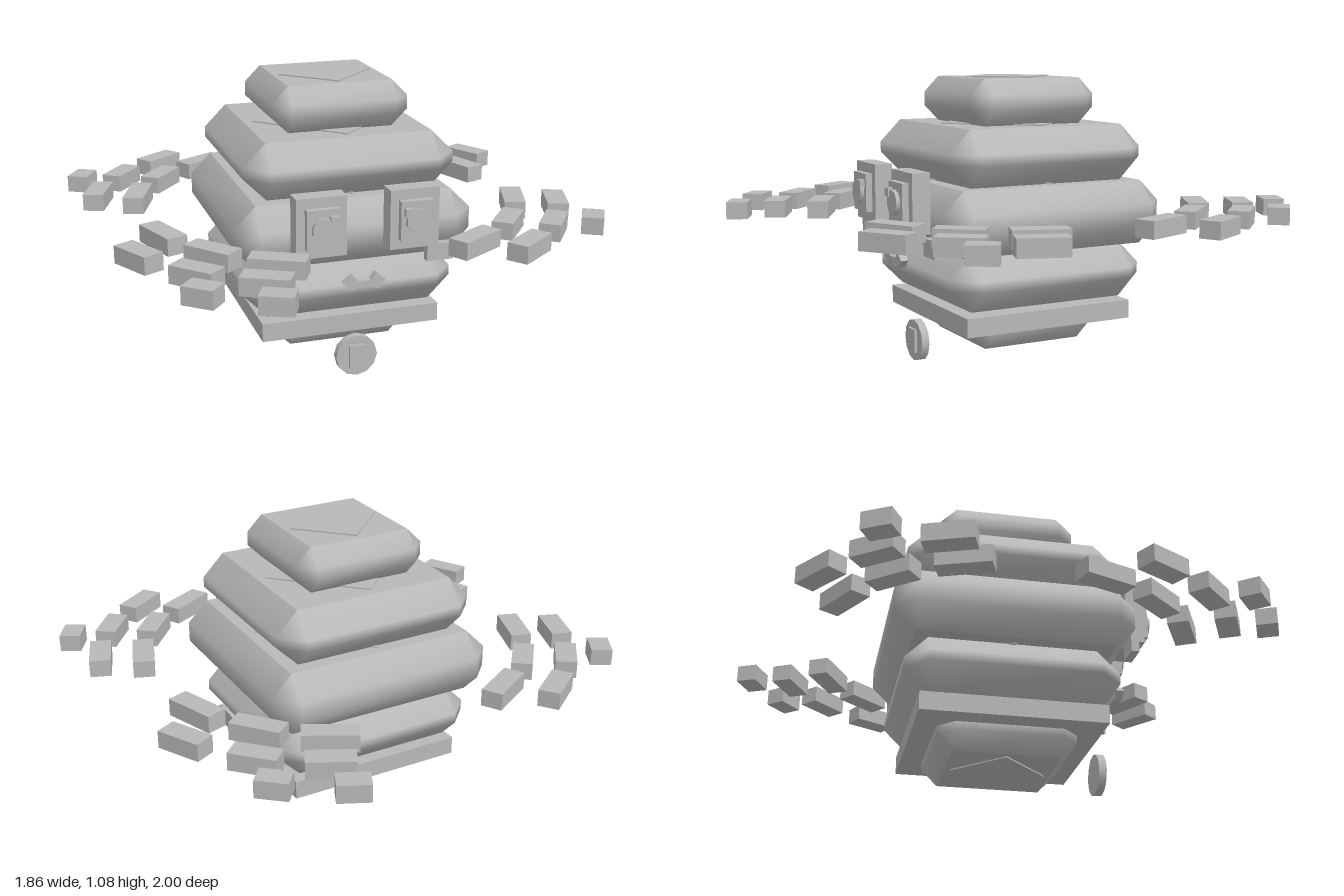
import * as THREE from 'three';

const grey = new THREE.MeshStandardMaterial({ color: 0xb8b8b8 });
grey.name = 'plain grey';

function add(parent, name, geometry, x = 0, y = 0, z = 0) {
  const mesh = new THREE.Mesh(geometry, grey);
  mesh.name = name;
  mesh.position.set(x, y, z);
  parent.add(mesh);
  return mesh;
}

const box = (w, h, d) => new THREE.BoxGeometry(w, h, d);

// Bevelled rim of a square tier: chamfered-square cross-sections joined upward
function rimGeometry(half, height, bevel) {
  const inner = half - bevel;
  const sections = [
    [-height / 2, inner], [-height / 2 + bevel, half],
    [height / 2 - bevel, half], [height / 2, inner],
  ];
  const positions = [];
  const index = [];
  for (const [y, reach] of sections) {
    for (let q = 0; q < 4; q++) {
      const c = Math.round(Math.cos(q * Math.PI / 2));
      const s = Math.round(Math.sin(q * Math.PI / 2));
      for (const t of [-inner, inner]) {
        positions.push(reach * c - t * s, y, reach * s + t * c);
      }
    }
  }
  for (let row = 0; row < 3; row++) {
    for (let i = 0; i < 8; i++) {
      const a = row * 8 + i;
      const b = row * 8 + (i + 1) % 8;
      index.push(a, a + 8, b, b, a + 8, b + 8);
    }
  }
  const geometry = new THREE.BufferGeometry();
  geometry.setAttribute('position', new THREE.Float32BufferAttribute(positions, 3));
  geometry.setIndex(index);
  geometry.computeVertexNormals();
  return geometry;
}

// One tier: smooth rim, flat faces and a slightly raised diamond above and below
function addTier(parent, name, bottom, top, half, bevel) {
  const tier = new THREE.Group();
  tier.name = name;
  tier.position.y = (bottom + top) / 2;
  const height = top - bottom;
  const inner = half - bevel;
  add(tier, 'rim', rimGeometry(half, height, bevel));
  add(tier, 'flatFaces', box(inner * 2, height, inner * 2));
  const side = inner * 0.9 * Math.SQRT2;
  add(tier, 'diamondFaces', box(side, height + 0.01, side)).rotation.y = Math.PI / 4;
  parent.add(tier);
}

// Extruded outline with its back at z = 0
function plate(points, depth) {
  const shape = new THREE.Shape(points.map(([x, y]) => new THREE.Vector2(x, y)));
  return new THREE.ExtrudeGeometry(shape, { depth, bevelEnabled: false });
}

export function createModel() {
  const model = new THREE.Group();
  model.name = 'hive';

  // Stacked body
  addTier(model, 'bottomTier', 0.065, 0.235, 0.26, 0.06);
  addTier(model, 'lowerTier', 0.24, 0.45, 0.4, 0.085);
  addTier(model, 'middleTier', 0.45, 0.69, 0.45, 0.08);
  addTier(model, 'upperTier', 0.69, 0.9, 0.4, 0.085);
  addTier(model, 'topTier', 0.9, 1.073, 0.26, 0.06);
  add(model, 'collar', box(0.69, 0.07, 0.69), 0, 0.19, 0);

  // Floating arcs of blocks: x, z, length, angle in degrees
  const sevenBlocks = [
    [0.69, 0.245, 0.2, 110], [0.56, 0.475, 0.18, 129], [0.36, 0.625, 0.2, 150],
    [0.835, 0.32, 0.18, 110], [0.71, 0.545, 0.17, 127], [0.525, 0.72, 0.18, 144],
    [0.87, 0.55, 0.11, 120],
  ];
  const eightBlocks = [
    [0.36, -0.635, 0.2, 28], [0.55, -0.475, 0.19, 50], [0.68, -0.25, 0.2, 70],
    [0.44, -0.785, 0.17, 27], [0.64, -0.64, 0.17, 46], [0.795, -0.42, 0.17, 62],
    [0.445, -0.94, 0.115, 25], [0.655, -0.805, 0.115, 40],
  ];
  for (const turn of [0, Math.PI]) {
    for (const [name, blocks] of [['sevenBlockArc', sevenBlocks], ['eightBlockArc', eightBlocks]]) {
      const arc = new THREE.Group();
      arc.name = name;
      arc.rotation.y = turn;
      for (const [x, z, length, angle] of blocks) {
        add(arc, 'block', box(length, 0.065, 0.08), x, 0.565, z)
          .rotation.y = -THREE.MathUtils.degToRad(angle);
      }
      model.add(arc);
    }
  }

  // Eyes and cheeks
  for (const side of [-1, 1]) {
    const eye = new THREE.Group();
    eye.name = side > 0 ? 'leftEye' : 'rightEye';
    eye.position.set(side * 0.173, 0.64, 0);
    add(eye, 'eyeFrame', box(0.185, 0.22, 0.07), 0, 0, 0.485);
    add(eye, 'eyePanel', box(0.122, 0.145, 0.03), 0, 0, 0.53);
    add(eye, 'pupil', new THREE.CylinderGeometry(0.045, 0.045, 0.015, 10), 0, 0, 0.5525)
      .rotation.x = Math.PI / 2;
    add(eye, 'glint', box(0.03, 0.03, 0.02), -side * 0.035, 0.035, 0.555);
    model.add(eye);
    add(model, side > 0 ? 'leftCheek' : 'rightCheek', box(0.1, 0.065, 0.03), side * 0.295, 0.483, 0.455);
  }

  // Mouth
  add(model, 'mouth', plate([
    [-0.08, 0.405], [-0.05, 0.375], [-0.022, 0.385], [0.022, 0.385], [0.05, 0.375],
    [0.08, 0.405], [0.045, 0.435], [0.025, 0.41], [-0.025, 0.41], [-0.045, 0.435],
  ], 0.03), 0, 0, 0.457);

  // Hanging medallion with a plain raised bar
  add(model, 'medallion', new THREE.CylinderGeometry(0.08, 0.08, 0.03, 12), 0, 0.08, 0.39)
    .rotation.x = Math.PI / 2;
  add(model, 'medallionBar', box(0.06, 0.09, 0.01), 0, 0.08, 0.41);

  return model;
}
